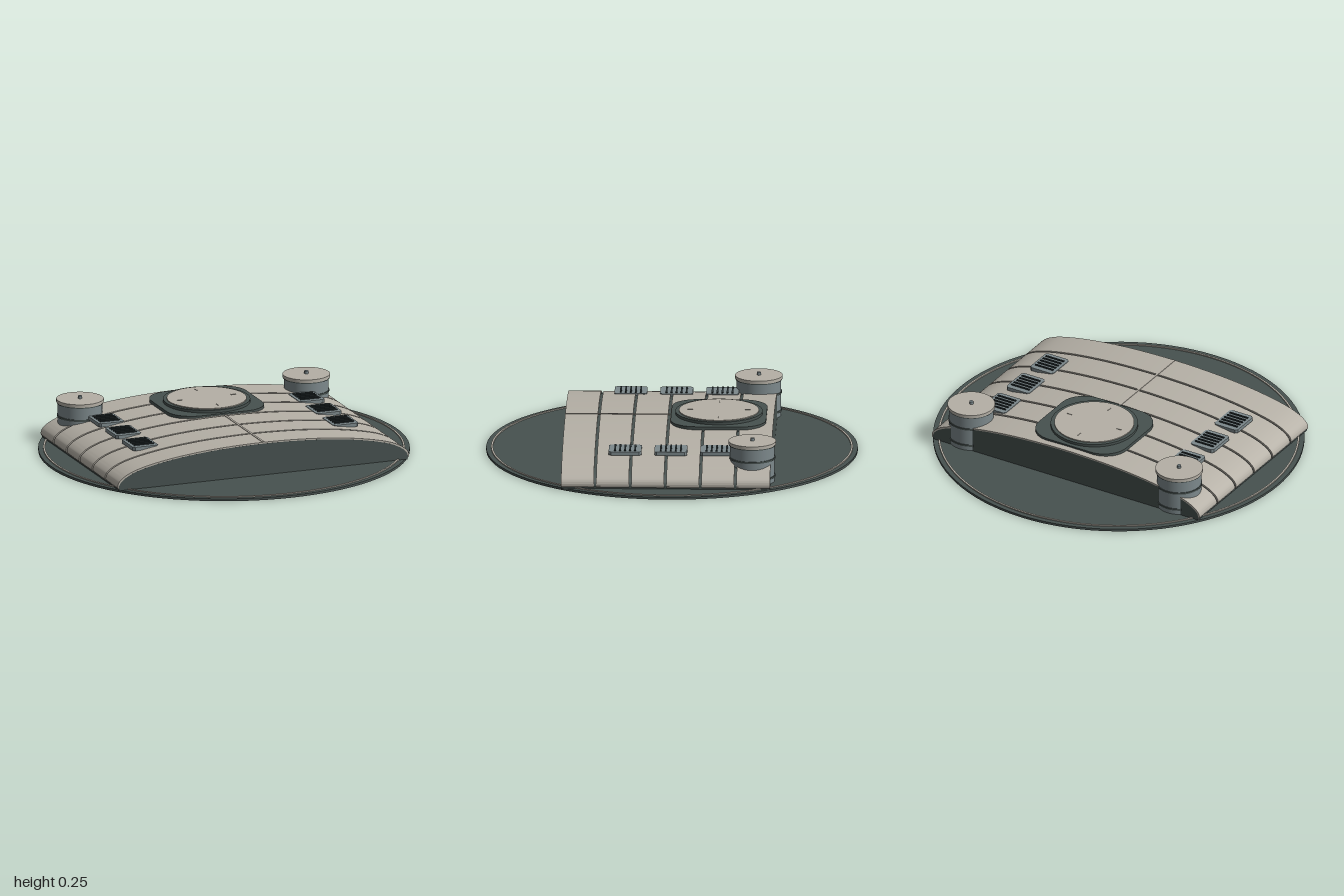
import * as THREE from 'three';
import { toCreasedNormals } from 'three/addons/utils/BufferGeometryUtils.js';

const mat = (name, color) => {
  const m = new THREE.MeshStandardMaterial({ color });
  m.name = name;
  return m;
};

export function createModel() {
  const model = new THREE.Group();
  const plate = mat('warm grey panel', 0xb5b0a6);
  const dark = mat('dark slate', 0x47514f);
  const steel = mat('blue grey steel', 0x7d898c);
  const slot = mat('slot black', 0x2a3335);

  const add = (parent, name, geo, material, x = 0, y = 0, z = 0) => {
    const m = new THREE.Mesh(geo, material);
    m.name = name;
    m.position.set(x, y, z);
    parent.add(m);
    return m;
  };
  const disc = (r, h, n = 64) => new THREE.CylinderGeometry(r, r, h, n);
  const extrude = (shape, depth) => toCreasedNormals(
    new THREE.ExtrudeGeometry(shape, { depth, bevelEnabled: false, curveSegments: 16 }), 0.5);

  // Round base with a fine raised ring
  add(model, 'baseDisc', disc(1, 0.013, 96), dark, 0, 0.0065, 0);
  const ring = new THREE.Shape().absarc(0, 0, 0.973, 0, Math.PI * 2);
  ring.holes.push(new THREE.Path().absarc(0, 0, 0.963, 0, Math.PI * 2, true));
  const ringGeo = new THREE.ExtrudeGeometry(ring, { depth: 0.007, bevelEnabled: false, curveSegments: 64 });
  add(model, 'baseRing', ringGeo.rotateX(-Math.PI / 2), plate, 0, 0.012, 0);

  // Arched hull cross-section, mirrored about x = 0
  const half = [[0.842, 0.028], [0.842, 0.045], [0.828, 0.068], [0.79, 0.095], [0.72, 0.123],
    [0.6, 0.15], [0.45, 0.172], [0.25, 0.189]];
  const knots = [...half, [0, 0.196], ...half.map(([x, y]) => [-x, y]).reverse()];
  const arch = new THREE.SplineCurve(knots.map(([x, y]) => new THREE.Vector2(x, y))).getPoints(80);
  const inner = arch.map(p => new THREE.Vector2(p.x * 0.992, p.y - 0.008));

  const coreShape = new THREE.Shape([new THREE.Vector2(inner[0].x, 0.012), ...inner,
    new THREE.Vector2(-inner[0].x, 0.012)]);
  add(model, 'hullCore', extrude(coreShape, 1.124), dark, 0, 0, -0.549);

  // Curved skin panels separated by narrow gaps
  const panelShape = new THREE.Shape([...arch, ...inner.slice().reverse()]);
  const seams = [-0.556, -0.363, -0.175, 0.014, 0.203, 0.392, 0.581];
  for (let i = 0; i < 6; i++) {
    add(model, 'skinPanel', extrude(panelShape, seams[i + 1] - seams[i] - 0.013), plate, 0, 0, seams[i] + 0.0065);
  }
  add(model, 'centreSeam', new THREE.BoxGeometry(0.012, 0.006, 0.56), plate, 0, 0.196, 0.292);

  // Central hatch on a rounded plate
  const hatch = new THREE.Group();
  hatch.name = 'hatch';
  hatch.position.set(0, 0, -0.253);
  model.add(hatch);
  const w = 0.275, d = 0.257, r = 0.14;
  const pad = new THREE.Shape();
  pad.absarc(w - r, d - r, r, 0, Math.PI / 2);
  pad.absarc(r - w, d - r, r, Math.PI / 2, Math.PI);
  pad.absarc(r - w, r - d, r, Math.PI, Math.PI * 1.5);
  pad.absarc(w - r, r - d, r, Math.PI * 1.5, Math.PI * 2);
  add(hatch, 'hatchPlate', extrude(pad, 0.03).rotateX(-Math.PI / 2), dark, 0, 0.175, 0);
  add(hatch, 'hatchRim', disc(0.235, 0.02), dark, 0, 0.21, 0);
  add(hatch, 'hatchLid', disc(0.215, 0.02), plate, 0, 0.215, 0);
  for (let i = 0; i < 4; i++) {
    const a = i * Math.PI / 2;
    const tick = add(hatch, 'hatchTick', new THREE.BoxGeometry(0.03, 0.003, 0.004), plate,
      Math.cos(a) * 0.155, 0.226, Math.sin(a) * 0.155);
    tick.rotation.y = -a;
  }

  for (const s of [-1, 1]) {
    // Louvred vents
    for (const z of [-0.257, -0.01, 0.236]) {
      const vent = new THREE.Group();
      vent.name = 'vent';
      vent.position.set(s * 0.58, 0, z);
      model.add(vent);
      const frame = new THREE.Shape();
      const a = 0.073, b = 0.088, c = 0.012;
      frame.setFromPoints([[a, c - b], [a, b - c], [a - c, b], [c - a, b], [-a, b - c], [-a, c - b],
        [c - a, -b], [a - c, -b]].map(p => new THREE.Vector2(...p)));
      add(vent, 'ventFrame', extrude(frame, 0.02).rotateX(-Math.PI / 2), steel, 0, 0.148, 0);
      for (let i = -2; i <= 2; i++) {
        add(vent, 'ventSlat', new THREE.BoxGeometry(0.114, 0.01, 0.009), slot, 0, 0.169, i * 0.027);
      }
    }

    // Rear drums with bands, cap and knob
    const drum = new THREE.Group();
    drum.name = 'drum';
    drum.position.set(s * 0.655, 0, -0.45);
    model.add(drum);
    add(drum, 'drumBody', disc(0.12, 0.205), steel, 0, 0.1175, 0);
    for (const y of [0.045, 0.145]) add(drum, 'drumBand', disc(0.124, 0.01), dark, 0, y, 0);
    add(drum, 'drumCollar', disc(0.125, 0.006), dark, 0, 0.217, 0);
    add(drum, 'drumCap', disc(0.128, 0.017), plate, 0, 0.2285, 0);
    add(drum, 'drumKnob', disc(0.011, 0.016, 16), steel, 0, 0.244, 0);
  }
  return model;
}
